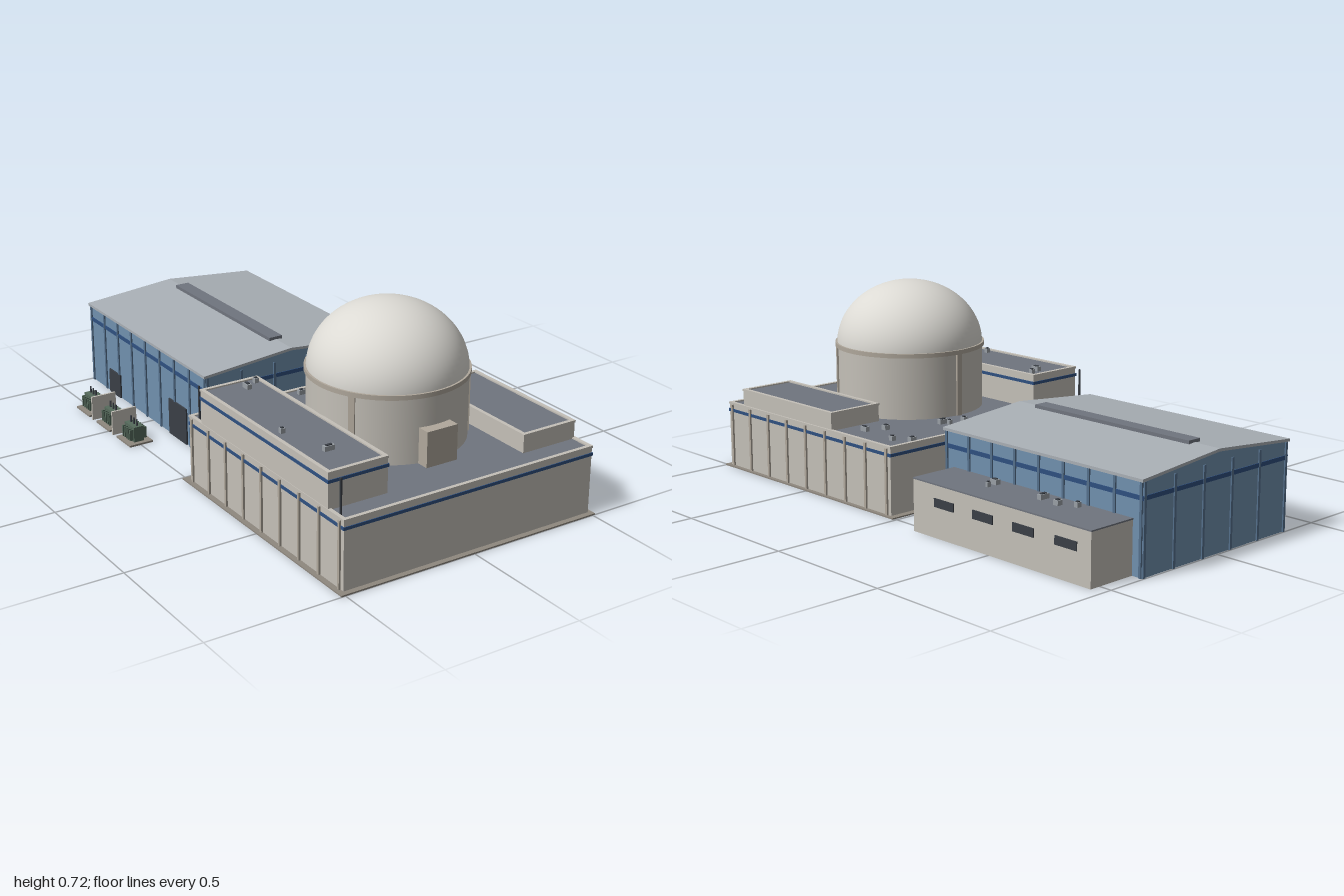
import * as THREE from 'three';

const mat = (color, extra = {}) => {
  const m = new THREE.MeshStandardMaterial(extra);
  m.color.set(color);
  return m;
};
const WALL = mat(0xc4c0b8), TRIM = mat(0xb0a89c), ROOF = mat(0x70757f), STRIPE = mat(0x2f5080);
const STEEL = mat(0x7090ae), RIB = mat(0x55708c), METAL = mat(0xa9afb5), DOME = mat(0xdcdad4);
const DARK = mat(0x3a3f46), GREEN = mat(0x566b5c), SLAB = mat(0x8f887f), UNIT = mat(0x9aa0a6);

export function createModel() {
  const model = new THREE.Group();

  const add = (parent, name, geometry, material) => {
    const mesh = new THREE.Mesh(geometry, material);
    mesh.name = name;
    parent.add(mesh);
    return mesh;
  };
  const group = (name) => {
    const g = new THREE.Group();
    g.name = name;
    model.add(g);
    return g;
  };
  // box given by its limits on each axis
  const box = (parent, name, x0, x1, y0, y1, z0, z1, material) => {
    const mesh = add(parent, name, new THREE.BoxGeometry(x1 - x0, y1 - y0, z1 - z0), material);
    mesh.position.set((x0 + x1) / 2, (y0 + y1) / 2, (z0 + z1) / 2);
    return mesh;
  };
  // raised rim around a flat roof
  const parapet = (parent, x0, x1, z0, z1, y0, y1, t, material) => {
    box(parent, 'parapet', x0, x1, y0, y1, z0, z0 + t, material);
    box(parent, 'parapet', x0, x1, y0, y1, z1 - t, z1, material);
    box(parent, 'parapet', x0, x0 + t, y0, y1, z0 + t, z1 - t, material);
    box(parent, 'parapet', x1 - t, x1, y0, y1, z0 + t, z1 - t, material);
  };
  // flat-roofed block with rim, dark roof and optional stripe
  const block = (name, x0, x1, z0, z1, y0, y1, stripe) => {
    const g = group(name);
    box(g, 'walls', x0, x1, y0, y1 - 0.008, z0, z1, WALL);
    box(g, 'roof', x0 + 0.01, x1 - 0.01, y1 - 0.008, y1 - 0.005, z0 + 0.01, z1 - 0.01, ROOF);
    parapet(g, x0 - 0.002, x1 + 0.002, z0 - 0.002, z1 + 0.002, y1 - 0.008, y1, 0.014, WALL);
    if (stripe) box(g, 'stripe', x0 - 0.003, x1 + 0.003, stripe, stripe + 0.011, z0 - 0.003, z1 + 0.003, STRIPE);
    return g;
  };

  // auxiliary building on its slab
  box(model, 'groundSlab', -0.515, 0.51, 0, 0.005, 0.01, 1, SLAB);
  const aux = block('auxiliaryBuilding', -0.495, 0.495, 0.035, 0.98, 0.004, 0.25, 0.214);
  for (const s of [-1, 1]) {
    for (let i = 0; i < 9; i++) {
      const z = 0.055 + i * 0.1131;
      const x = s * 0.497;
      box(aux, 'pilaster', x - 0.005, x + 0.005, 0.005, 0.242, z - 0.005, z + 0.005, TRIM);
    }
  }
  block('leftWing', -0.495, -0.272, 0.117, 0.893, 0.242, 0.374, 0.336);
  block('rightWing', 0.272, 0.49, 0.365, 0.895, 0.242, 0.312, 0);
  for (const z of [0.08, 0.94]) box(model, 'mast', -0.483, -0.477, 0.24, 0.37, z - 0.003, z + 0.003, DARK);

  // containment drum, ring, dome and buttresses
  const containment = group('containment');
  containment.position.set(0, 0, 0.505);
  const R = 0.272;
  add(containment, 'drum', new THREE.CylinderGeometry(R, R, 0.24, 64, 1, true), WALL).position.y = 0.36;
  add(containment, 'ringBeam', new THREE.CylinderGeometry(0.279, 0.279, 0.016, 64), TRIM).position.y = 0.482;
  const dome = add(containment, 'dome', new THREE.SphereGeometry(R, 64, 24, 0, Math.PI * 2, 0, Math.PI / 2), DOME);
  dome.position.y = 0.482;
  dome.scale.y = 0.236 / R;
  for (const deg of [30, 150, 270]) {
    const a = THREE.MathUtils.degToRad(deg);
    const rib = add(containment, 'buttress', new THREE.BoxGeometry(0.012, 0.234, 0.022), TRIM);
    rib.position.set(Math.cos(a) * R, 0.358, Math.sin(a) * R);
    rib.rotation.y = -a;
  }
  box(containment, 'equipmentHatch', -0.062, 0.06, 0.244, 0.371, 0.23, 0.31, TRIM);

  // link between the buildings
  box(model, 'linkBuilding', -0.205, 0.2, 0, 0.162, -0.095, 0.04, WALL);

  // turbine hall with shallow gable
  const hall = group('turbineHall');
  const gable = (half, eave, ridge, base, depth) => {
    const s = new THREE.Shape();
    s.moveTo(-half, base).lineTo(half, base).lineTo(half, eave).lineTo(0, ridge).lineTo(-half, eave);
    return new THREE.ExtrudeGeometry(s, { depth, bevelEnabled: false });
  };
  const hx = 0.355, z0 = -0.994, z1 = -0.094;
  add(hall, 'walls', gable(hx, 0.31, 0.342, 0, z1 - z0), STEEL).position.z = z0;
  const rs = new THREE.Shape();
  rs.moveTo(-0.364, 0.31).lineTo(0, 0.342).lineTo(0.364, 0.31);
  rs.lineTo(0.364, 0.32).lineTo(0, 0.352).lineTo(-0.364, 0.32);
  const roof = new THREE.ExtrudeGeometry(rs, { depth: 0.912, bevelEnabled: false });
  add(hall, 'roof', roof, METAL).position.z = -1;
  box(hall, 'ridgeVent', -0.028, 0.026, 0.34, 0.362, -0.893, -0.193, ROOF);
  box(hall, 'stripe', -hx - 0.003, hx + 0.003, 0.25, 0.265, z0 - 0.003, z1 + 0.003, STRIPE);
  for (let i = 0; i < 9; i++) {
    const z = z0 + 0.006 + (i * (z1 - z0 - 0.012)) / 8;
    for (const x of [-hx, hx]) box(hall, 'sideRib', x - 0.005, x + 0.005, 0, 0.311, z - 0.005, z + 0.005, RIB);
  }
  for (let i = 0; i < 6; i++) {
    const x = -hx + 0.006 + (i * (2 * hx - 0.012)) / 5;
    for (const z of [z0, z1]) box(hall, 'endRib', x - 0.005, x + 0.005, 0, 0.31, z - 0.005, z + 0.005, RIB);
  }
  box(hall, 'door', -hx - 0.006, -hx, 0, 0.095, -0.845, -0.755, DARK);
  box(hall, 'largeDoor', -hx - 0.006, -hx, 0, 0.14, -0.365, -0.235, DARK);

  // side annex with window strips
  const annex = group('annex');
  box(annex, 'walls', 0.35, 0.54, 0, 0.182, -0.953, -0.137, WALL);
  box(annex, 'roof', 0.35, 0.541, 0.182, 0.187, -0.955, -0.135, ROOF);
  for (const z of [-0.29, -0.476, -0.662, -0.848]) {
    box(annex, 'window', 0.538, 0.544, 0.108, 0.138, z - 0.047, z + 0.047, DARK);
  }

  // rooftop units: x, z, base height, width, depth
  const units = group('rooftopUnits');
  const spots = [
    [-0.45, 0.56, 0.368, 0.016, 0.016], [-0.398, 0.75, 0.368, 0.038, 0.016],
    [-0.35, 0.182, 0.368, 0.018, 0.034], [-0.3, 0.155, 0.368, 0.016, 0.016],
    [-0.2, 0.125, 0.244, 0.018, 0.018], [-0.2, 0.148, 0.244, 0.014, 0.014],
    [-0.152, 0.11, 0.244, 0.018, 0.024], [-0.065, 0.078, 0.244, 0.024, 0.016],
    [0.05, 0.15, 0.244, 0.018, 0.018], [0.12, 0.15, 0.244, 0.014, 0.014],
    [0.128, 0.178, 0.244, 0.036, 0.018], [0.38, 0.055, 0.244, 0.024, 0.018],
    [0.418, 0.115, 0.244, 0.018, 0.018], [0.335, 0.25, 0.244, 0.022, 0.02],
    [0.402, 0.285, 0.244, 0.016, 0.03], [0.394, -0.755, 0.186, 0.018, 0.016],
    [0.422, -0.695, 0.186, 0.022, 0.022], [0.407, -0.615, 0.186, 0.038, 0.018],
    [0.4, -0.385, 0.186, 0.02, 0.028], [0.438, -0.393, 0.186, 0.016, 0.01],
  ];
  for (const [x, z, y, w, d] of spots) {
    box(units, 'unit', x - w / 2, x + w / 2, y, y + 0.018, z - d / 2, z + d / 2, UNIT);
    box(units, 'unitCap', x - w * 0.3, x + w * 0.3, y + 0.018, y + 0.021, z - d * 0.3, z + d * 0.3, DARK);
  }

  // transformers on pads, with fire walls between
  for (const z of [-0.38, -0.545, -0.71]) {
    const t = group('transformer');
    t.position.set(-0.498, 0, z);
    box(t, 'pad', -0.047, 0.047, 0, 0.007, -0.054, 0.054, SLAB);
    box(t, 'tank', -0.02, 0.02, 0.007, 0.065, -0.036, 0.036, GREEN);
    for (const s of [-1, 1]) {
      for (let i = 0; i < 5; i++) {
        const fz = -0.028 + i * 0.014;
        box(t, 'radiatorFin', s * 0.027 - 0.007, s * 0.027 + 0.007, 0.014, 0.056, fz - 0.003, fz + 0.003, GREEN);
      }
    }
    for (const bz of [-0.022, 0, 0.022]) {
      add(t, 'bushing', new THREE.CylinderGeometry(0.003, 0.004, 0.024, 10), DARK).position.set(0, 0.077, bz);
    }
  }
  for (const z of [-0.464, -0.629]) box(model, 'fireWall', -0.546, -0.447, 0, 0.092, z - 0.004, z + 0.004, WALL);

  return model;
}
